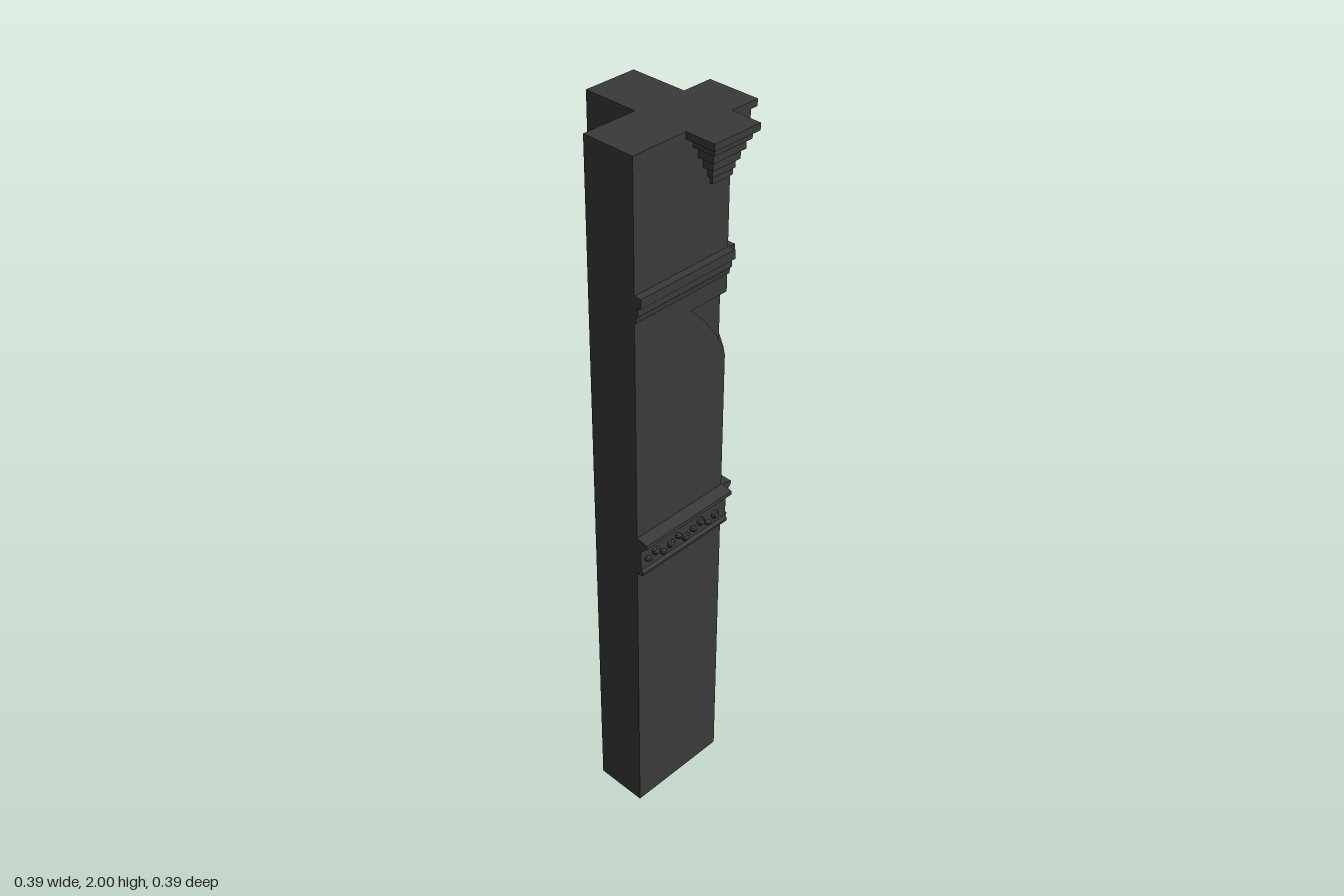
import * as THREE from 'three';

const stone = new THREE.MeshStandardMaterial({ color: 0x3a3a3a, flatShading: true });
const FACE = 0.11, FAR = 0.195, INNER = 0.04; // outer faces, arm ends, inner corner

function add(group, geometry, name) {
  const mesh = new THREE.Mesh(geometry, stone);
  mesh.name = name;
  group.add(mesh);
  return mesh;
}

// L-shaped plan as [x, z]; w and d describe the recess at the outer corner
function plan(w, d) {
  return [
    [-FAR, -FACE], [-FAR, INNER], [-INNER, INNER], [-INNER, FAR], [FACE, FAR],
    [FACE, -FACE + w], [FACE - d, -FACE + w], [FACE - d, -FACE + d],
    [FACE - w, -FACE + d], [FACE - w, -FACE],
  ];
}

// Straight length of the L-shaped pier
function shaft(y0, y1) {
  const shape = new THREE.Shape([
    [-FAR, -FACE], [-FAR, INNER], [-INNER, INNER], [-INNER, FAR], [FACE, FAR], [FACE, -FACE],
  ].map(([x, z]) => new THREE.Vector2(x, -z)));
  const g = new THREE.ExtrudeGeometry(shape, { depth: y1 - y0, bevelEnabled: false });
  return g.rotateX(-Math.PI / 2).translate(0, y0, 0);
}

// Length of pier whose corner recess widens upward in a concave curve
function recessedShaft(y0, y1, rows) {
  const pos = [], index = [], n = plan(0, 0).length;
  for (let r = 0; r <= rows; r++) {
    const t = r / rows, w = 0.12 * Math.pow(t, 1.45);
    for (const [x, z] of plan(w, Math.min(0.011, w))) pos.push(x, y0 + t * (y1 - y0), z);
  }
  for (let r = 0; r < rows; r++) {
    for (let i = 0; i < n; i++) {
      const a = r * n + i, b = r * n + (i + 1) % n;
      index.push(a, b, b + n, a, b + n, a + n);
    }
  }
  const g = new THREE.BufferGeometry();
  g.setAttribute('position', new THREE.Float32BufferAttribute(pos, 3));
  g.setIndex(index);
  g.computeVertexNormals();
  return g;
}

// Moulding with an [x, y] profile, running along z
function moulding(profile, z0, z1) {
  const shape = new THREE.Shape(profile.map(([x, y]) => new THREE.Vector2(x, y)));
  return new THREE.ExtrudeGeometry(shape, { depth: z1 - z0, bevelEnabled: false }).translate(0, 0, z0);
}

// Ornament of one outer face; s = -1 reverses it along the run
function faceTrim(s) {
  const g = new THREE.Group();
  const run = (a, b) => (s > 0 ? [a, b] : [-b, -a]);
  const [z0, z1] = run(-0.113, FAR);

  add(g, moulding([
    [0.1, 1.59], [0.114, 1.59], [0.116, 1.605], [0.121, 1.61], [0.121, 1.63],
    [0.131, 1.635], [0.131, 1.66], [0.1, 1.66],
  ], z0, z1), 'upperCornice');

  add(g, moulding([
    [0.1, 0.848], [0.128, 0.848], [0.131, 0.858], [0.124, 0.866], [0.124, 0.925],
    [0.132, 0.935], [0.144, 0.945], [0.144, 0.956], [0.115, 0.962], [0.1, 0.962],
  ], z0, z1), 'friezeBand');

  // Carved leaves along the frieze
  for (let i = 0; i < 10; i++) {
    const leaf = add(g, new THREE.SphereGeometry(1, 7, 5), 'friezeLeaf');
    leaf.scale.set(0.012, 0.008 + 0.004 * (i % 2), 0.013);
    leaf.position.set(0.125, 0.893 + 0.011 * Math.sin(i * 2.1), s * (0.172 - i * 0.027));
    leaf.rotation.x = s * (i % 2 ? 0.6 : -0.5);
  }

  // Stepped corbel: [reach in x, end in z, bottom y]
  let top = 2;
  for (const [x, end, y] of [
    [0.195, 0.035, 1.982], [0.173, 0.012, 1.955], [0.156, -0.004, 1.925],
    [0.14, -0.02, 1.895], [0.125, -0.036, 1.868], [0.118, -0.044, 1.848],
  ]) {
    const [a, b] = run(-FACE, end);
    add(g, new THREE.BoxGeometry(x - 0.1, top - y, b - a), 'corbelStep')
      .position.set((x + 0.1) / 2, (top + y) / 2, (a + b) / 2);
    top = y;
  }
  return g;
}

export function createModel() {
  const model = new THREE.Group();
  model.name = 'cornerPier';
  add(model, shaft(0, 1.36), 'lowerShaft');
  add(model, recessedShaft(1.36, 1.54, 8), 'recessedShaft');
  add(model, shaft(1.54, 2), 'upperShaft');

  const left = faceTrim(1);
  left.name = 'leftTrim';
  const back = faceTrim(-1);
  back.name = 'backTrim';
  back.rotation.y = Math.PI / 2;
  model.add(left, back);
  return model;
}
